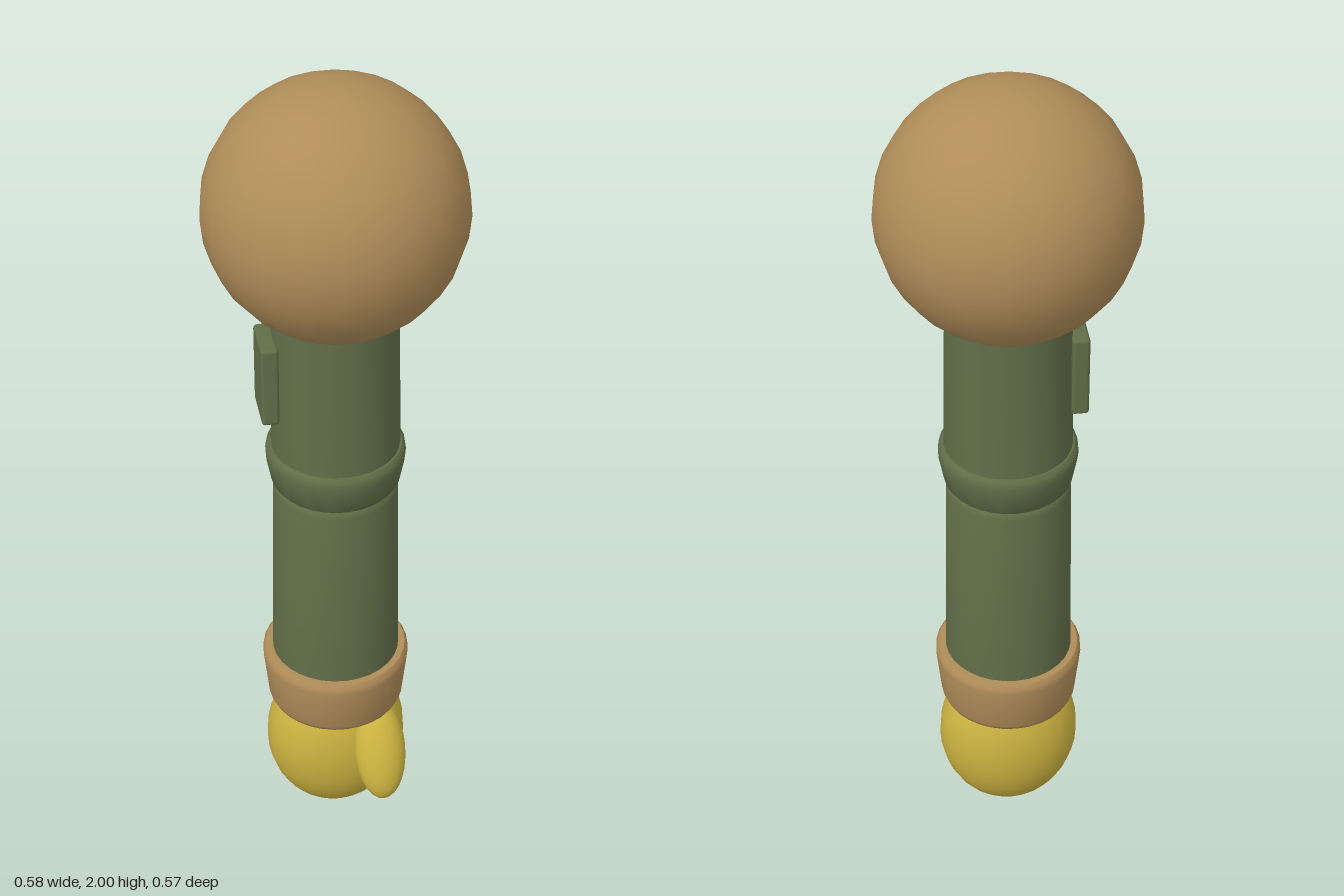
import * as THREE from 'three';
import { toCreasedNormals } from 'three/addons/utils/BufferGeometryUtils.js';
import { RoundedBoxGeometry } from 'three/addons/geometries/RoundedBoxGeometry.js';

const material = (name, color) => {
  const m = new THREE.MeshStandardMaterial({ color });
  m.name = name;
  return m;
};

export function createModel() {
  const tan = material('tan', 0xb08d59);
  const green = material('olive green', 0x616e48);
  const yellow = material('mustard yellow', 0xccb340);
  const model = new THREE.Group();
  model.name = 'arm';

  const add = (name, geometry, mat, x, y, z) => {
    const mesh = new THREE.Mesh(geometry, mat);
    mesh.name = name;
    mesh.position.set(x, y, z);
    model.add(mesh);
    return mesh;
  };
  // Turned part from [radius, height] pairs, listed bottom to top
  const turned = (name, mat, profile) => {
    const points = profile.map(([r, y]) => new THREE.Vector2(r, y));
    return add(name, toCreasedNormals(new THREE.LatheGeometry(points, 32), 0.7), mat, 0, 0, 0);
  };

  // Shoulder ball
  add('shoulder', new THREE.SphereGeometry(0.29, 22, 16), tan, 0, 1.71, 0);

  // Sleeve
  turned('upperArm', green, [[0, 1.04], [0.148, 1.04], [0.14, 1.5], [0, 1.5]]);
  turned('elbowBand', green, [
    [0, 1], [0.142, 1], [0.148, 1.008], [0.159, 1.065], [0.16, 1.08], [0.158, 1.095], [0.151, 1.102], [0, 1.102],
  ]);
  turned('forearm', green, [
    [0, 0.45], [0.152, 0.45], [0.151, 0.52], [0.144, 0.98], [0.141, 0.993], [0.133, 1.002], [0, 1.002],
  ]);

  // Cuff, flaring upwards
  turned('cuff', tan, [
    [0, 0.345], [0.15, 0.345], [0.158, 0.35], [0.163, 0.362], [0.175, 0.475], [0.174, 0.49], [0.167, 0.5], [0, 0.5],
  ]);

  // Patch on the outer side of the sleeve
  add('sleevePatch', new RoundedBoxGeometry(0.04, 0.2, 0.116, 2, 0.008), green, -0.155, 1.3, 0);

  // Mitten hand with a tilted thumb
  add('hand', new THREE.SphereGeometry(1, 24, 18), yellow, 0, 0.215, 0).scale.set(0.17, 0.213, 0.138);
  const thumb = add('thumb', new THREE.SphereGeometry(1, 20, 14), yellow, 0.085, 0.253, 0.138);
  thumb.scale.set(0.063, 0.126, 0.05);
  thumb.rotation.x = -0.47;

  return model;
}
